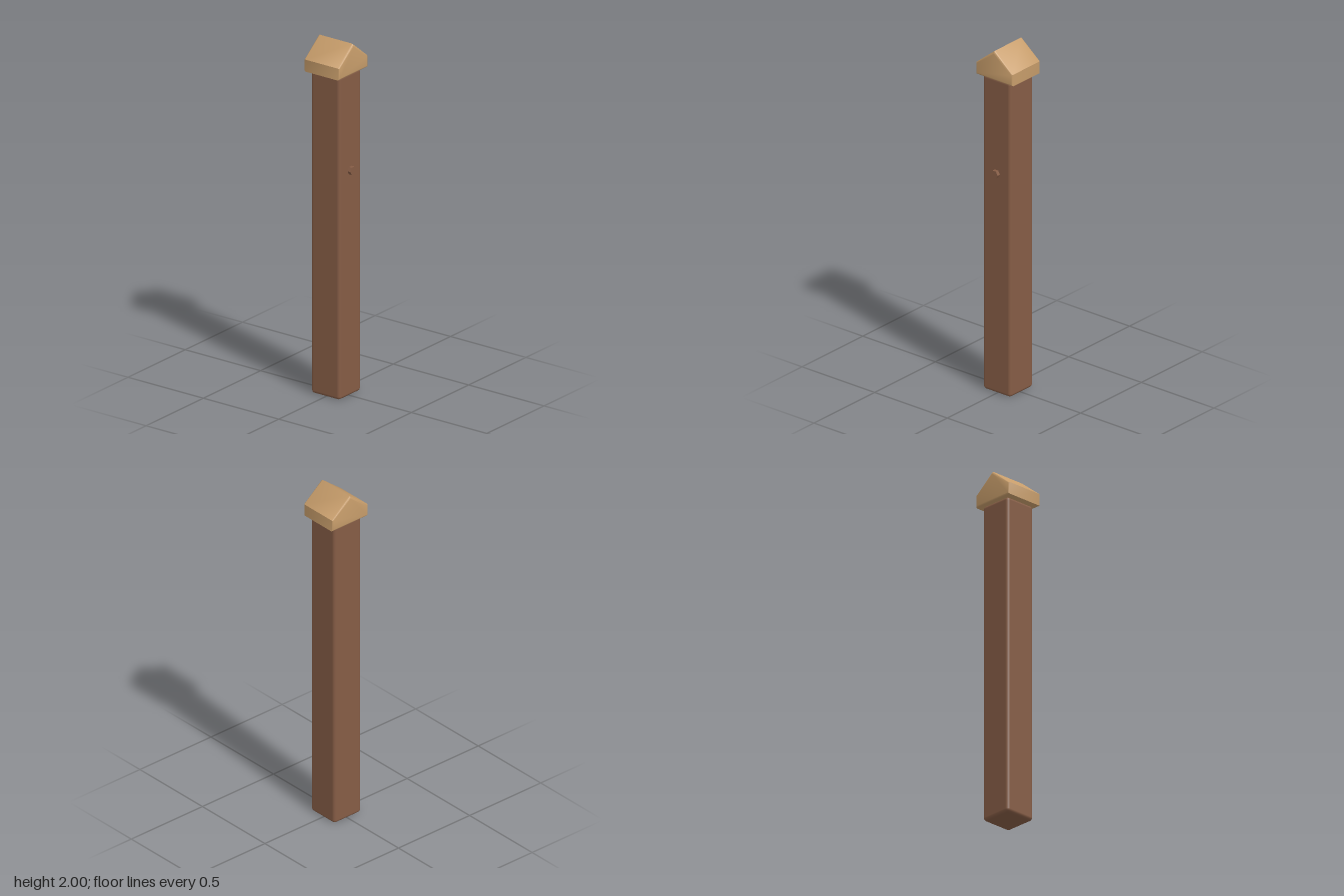
import * as THREE from 'three';
import { RoundedBoxGeometry } from 'three/addons/geometries/RoundedBoxGeometry.js';
import { toCreasedNormals } from 'three/addons/utils/BufferGeometryUtils.js';

export function createModel() {
  const group = new THREE.Group();
  group.name = 'post';
  const brownWood = new THREE.MeshStandardMaterial({ color: 0x855c45 });
  brownWood.name = 'brown wood';
  const paleWood = new THREE.MeshStandardMaterial({ color: 0xc69c6a });
  paleWood.name = 'pale wood';

  const add = (name, geometry, material, x, y, z) => {
    const mesh = new THREE.Mesh(geometry, material);
    mesh.name = name;
    mesh.position.set(x, y, z);
    group.add(mesh);
    return mesh;
  };

  // Square shaft with softened edges
  add('shaft', new RoundedBoxGeometry(0.19, 1.832, 0.19, 3, 0.018), brownWood, 0, 0.916, 0);

  // Gabled cap, rounded off at its front and back faces
  const gable = new THREE.Shape([
    new THREE.Vector2(-0.127, 0),
    new THREE.Vector2(0.127, 0),
    new THREE.Vector2(0.127, 0.068),
    new THREE.Vector2(0, 0.17),
    new THREE.Vector2(-0.127, 0.068),
  ]);
  const bevel = 0.012, depth = 0.234;
  const capGeometry = new THREE.ExtrudeGeometry(gable, {
    depth: depth - 2 * bevel, bevelEnabled: true, bevelThickness: bevel,
    bevelSize: bevel, bevelOffset: -bevel, bevelSegments: 4,
  });
  capGeometry.translate(0, 0, bevel - depth / 2);
  add('cap', toCreasedNormals(capGeometry, 0.65), paleWood, 0, 1.83, 0);

  // Six-sided peg on the front face
  const pegGeometry = new THREE.CylinderGeometry(0.024, 0.024, 0.03, 6, 1, false, Math.PI / 6);
  pegGeometry.rotateX(Math.PI / 2);
  add('peg', toCreasedNormals(pegGeometry, 0.5), brownWood, 0, 1.28, 0.099);

  return group;
}
